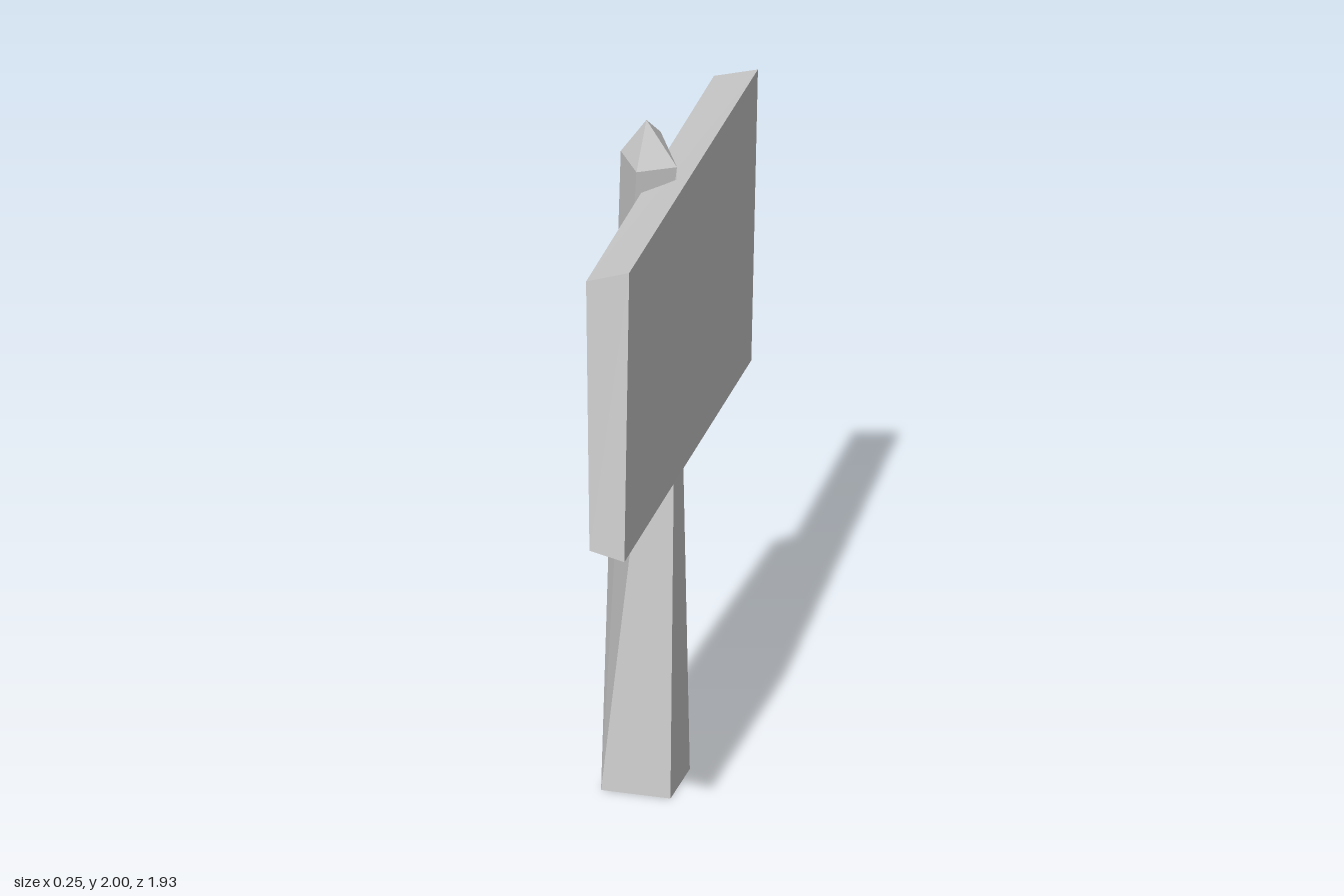
import * as THREE from 'three';

// Builds a flat-shaded geometry from triangles of [x, y, z] corners
function facets(triangles) {
  const geometry = new THREE.BufferGeometry();
  geometry.setAttribute('position', new THREE.Float32BufferAttribute(triangles.flat(2), 3));
  geometry.computeVertexNormals();
  return geometry;
}

// Walls between two four-cornered rings; 'twisted' alternates the diagonals
function walls(a, b, twisted) {
  const out = [];
  for (let i = 0; i < 4; i++) {
    const j = (i + 1) % 4;
    if (twisted && i % 2) out.push([a[i], a[j], b[i]], [a[j], b[j], b[i]]);
    else out.push([a[i], a[j], b[j]], [a[i], b[j], b[i]]);
  }
  return out;
}

const cap = ([p, q, r, s]) => [[p, q, r], [p, r, s]];

export function createModel() {
  const grey = new THREE.MeshStandardMaterial({ color: 0xcccccc, flatShading: true, side: THREE.DoubleSide });
  grey.name = 'grey wood';
  const group = new THREE.Group();
  group.name = 'signpost';
  const add = (name, triangles) => {
    const mesh = new THREE.Mesh(facets(triangles), grey);
    mesh.name = name;
    group.add(mesh);
  };

  // Post: square foot, open below, twisting up to a diamond
  const foot = [[-0.125, 0, 0.132], [0.078, 0, 0.155], [0.095, 0, -0.055], [-0.11, 0, -0.062]];
  const shoulder = [[-0.03, 1.9, 0.098], [0.07, 1.885, 0.01], [-0.005, 1.92, -0.145], [-0.102, 1.895, -0.05]];
  add('post', walls(foot, shoulder, true));

  // Pointed tip on top of the post
  const apex = [-0.027, 2, -0.043];
  add('postTip', shoulder.map((p, i) => [p, shoulder[(i + 1) % 4], apex]));

  // Tilted board, lofted from its back end to its front end
  const backEnd = [[0.025, 0.91, -0.878], [0.12, 0.9, -0.88], [0.123, 1.76, -0.967], [-0.003, 1.73, -0.967]];
  const frontEnd = [[-0.008, 1.11, 0.952], [0.095, 1.09, 0.968], [0.093, 1.945, 0.882], [-0.03, 1.91, 0.885]];
  add('signBoard', [
    ...walls(backEnd, frontEnd, false),
    ...cap(frontEnd),
    ...cap([...backEnd].reverse()),
  ]);

  return group;
}
